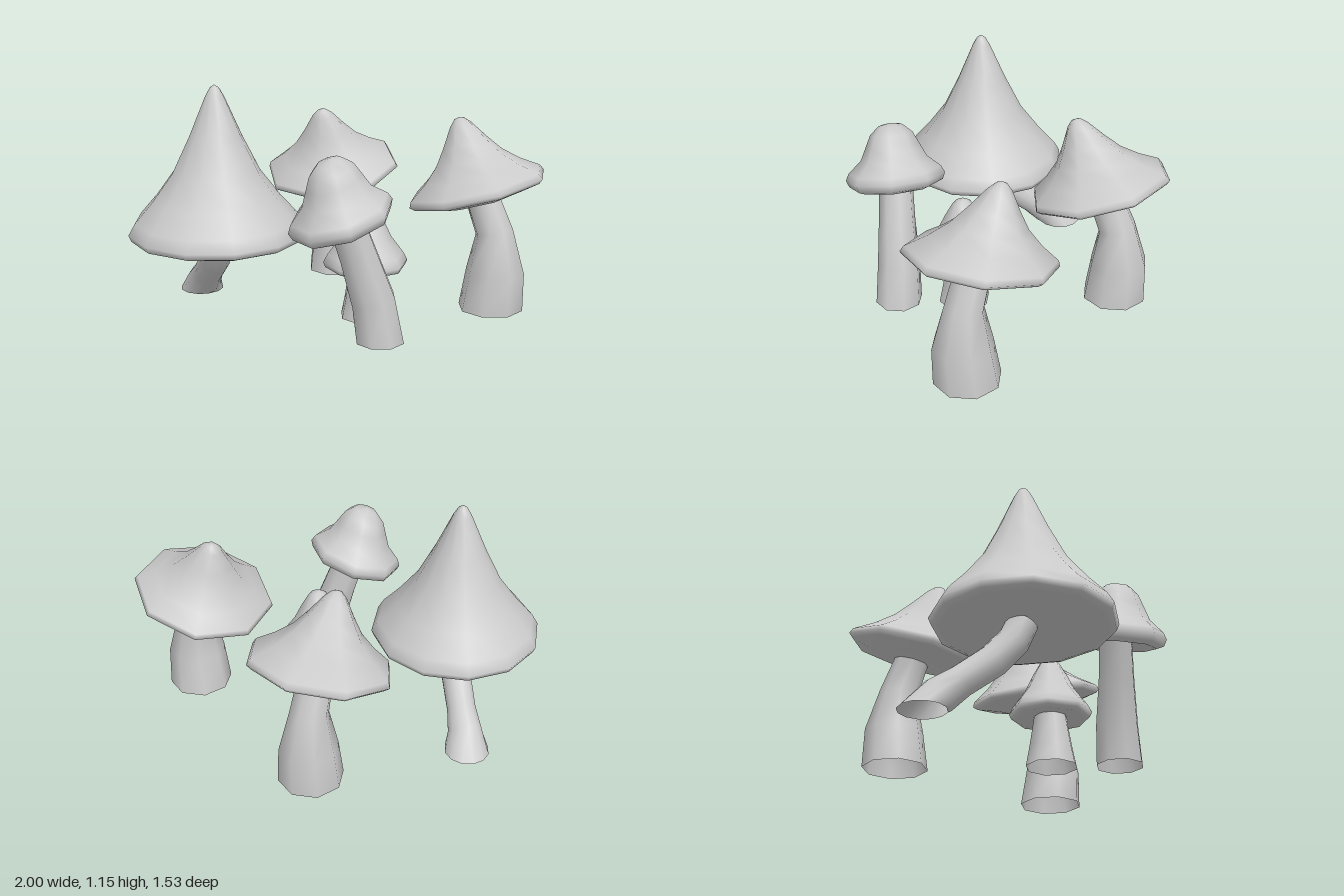
import * as THREE from 'three';
import { mergeVertices } from 'three/addons/utils/BufferGeometryUtils.js';

const UP = new THREE.Vector3(0, 1, 0);
const material = new THREE.MeshStandardMaterial({ color: 0xcccccc, side: THREE.DoubleSide });

// Cap profiles from the underside centre, round the rim, to the tip: [radius, height]
const steepCap = [[0, 0.01], [0.08, -0.01], [0.38, -0.044], [0.418, -0.03], [0.43, 0.0], [0.398, 0.055],
  [0.31, 0.155], [0.213, 0.285], [0.127, 0.46], [0.045, 0.65], [0.022, 0.69], [0, 0.705]];
const wideCap = [[0, -0.035], [0.08, -0.045], [0.22, -0.043], [0.335, -0.015], [0.357, 0.003], [0.345, 0.03],
  [0.255, 0.09], [0.175, 0.16], [0.115, 0.24], [0.055, 0.33], [0.025, 0.36], [0, 0.367]];
const roundCap = [[0, 0], [0.08, -0.01], [0.2, -0.045], [0.235, -0.03], [0.249, 0.005], [0.232, 0.04],
  [0.165, 0.1], [0.132, 0.17], [0.105, 0.227], [0.06, 0.268], [0, 0.28]];
const smallCap = [[0, 0], [0.07, -0.01], [0.17, -0.025], [0.197, -0.015], [0.208, 0.01], [0.187, 0.05],
  [0.128, 0.13], [0.087, 0.215], [0.05, 0.28], [0.025, 0.298], [0, 0.305]];

// Cap turned on its own axis, with the tip leaning sideways, then tilted to its normal
function makeCap({ profile, sides, turn, lean, at, normal }) {
  const points = profile.map(([r, y]) => new THREE.Vector2(r, y));
  const geo = new THREE.LatheGeometry(points, sides, THREE.MathUtils.degToRad(turn));
  geo.applyMatrix4(new THREE.Matrix4().set(1, lean[0], 0, 0, 0, 1, 0, 0, 0, lean[1], 1, 0, 0, 0, 0, 1));
  const cap = new THREE.Mesh(geo, material);
  cap.name = 'cap';
  cap.position.set(...at);
  cap.quaternion.setFromUnitVectors(UP, new THREE.Vector3(...normal).normalize());
  return cap;
}

// Hollow stem lofted through rings [x, y, z, radius], each square to the path; the base ring stays level
function makeStem(rings, sides) {
  const n = rings.length - 1;
  const centres = rings.map(([x, y, z]) => new THREE.Vector3(x, y, z));
  const turns = centres.map((c, i) => {
    const dir = i === 0 ? UP.clone() : centres[Math.min(i + 1, n)].clone().sub(centres[i - 1]).normalize();
    return new THREE.Quaternion().setFromUnitVectors(UP, dir);
  });
  let geo = new THREE.CylinderGeometry(1, 1, 1, sides, n, true);
  const pos = geo.attributes.position;
  const v = new THREE.Vector3();
  for (let k = 0; k < pos.count; k++) {
    const i = Math.round((pos.getY(k) + 0.5) * n);
    v.set(pos.getX(k), 0, pos.getZ(k)).multiplyScalar(rings[i][3]);
    v.applyQuaternion(turns[i]).add(centres[i]);
    pos.setXYZ(k, v.x, v.y, v.z);
  }
  geo.deleteAttribute('uv');
  geo.deleteAttribute('normal');
  geo = mergeVertices(geo);
  geo.computeVertexNormals();
  const stem = new THREE.Mesh(geo, material);
  stem.name = 'stem';
  return stem;
}

const mushrooms = [
  { name: 'tallMushroom', profile: steepCap, sides: 12, turn: 22, lean: [0, 0],
    at: [-0.577, 0.447, -0.04], normal: [0, 1, 0], stemSides: 12,
    stem: [[-0.53, 0, -0.48, 0.112], [-0.537, 0.07, -0.41, 0.087], [-0.543, 0.14, -0.32, 0.074],
      [-0.553, 0.25, -0.175, 0.076], [-0.57, 0.35, -0.085, 0.075], [-0.577, 0.44, -0.045, 0.072]] },
  { name: 'rightMushroom', profile: wideCap, sides: 8, turn: 32, lean: [0.055, -0.13],
    at: [0.66, 0.6, 0.318], normal: [-0.2, 1, -0.2], stemSides: 8,
    stem: [[0.708, 0, 0.4, 0.163], [0.715, 0.2, 0.42, 0.146], [0.71, 0.4, 0.408, 0.095],
      [0.665, 0.58, 0.345, 0.085]] },
  { name: 'backMushroom', profile: wideCap, sides: 8, turn: 7.5, lean: [-0.09, 0.09],
    at: [0.205, 0.6, -0.425], normal: [-0.22, 1, 0.2], stemSides: 8,
    stem: [[0.27, 0, -0.5, 0.163], [0.28, 0.2, -0.51, 0.146], [0.27, 0.4, -0.497, 0.095],
      [0.22, 0.58, -0.437, 0.085]] },
  { name: 'frontMushroom', profile: roundCap, sides: 8, turn: 30, lean: [0.1, 0],
    at: [-0.18, 0.605, 0.522], normal: [-0.32, 1, 0], stemSides: 8,
    stem: [[0, 0, 0.57, 0.118], [-0.03, 0.2, 0.555, 0.108], [-0.1, 0.42, 0.54, 0.092],
      [-0.16, 0.6, 0.525, 0.085]] },
  { name: 'smallMushroom', profile: smallCap, sides: 8, turn: 27.5, lean: [0, 0],
    at: [0.08, 0.272, 0.245], normal: [0, 1, 0], stemSides: 8,
    stem: [[0.085, 0, 0.248, 0.13], [0.085, 0.1, 0.247, 0.11], [0.08, 0.28, 0.245, 0.08]] },
];

export function createModel() {
  const model = new THREE.Group();
  model.name = 'mushroomCluster';
  for (const m of mushrooms) {
    const group = new THREE.Group();
    group.name = m.name;
    group.add(makeStem(m.stem, m.stemSides), makeCap(m));
    model.add(group);
  }
  return model;
}
